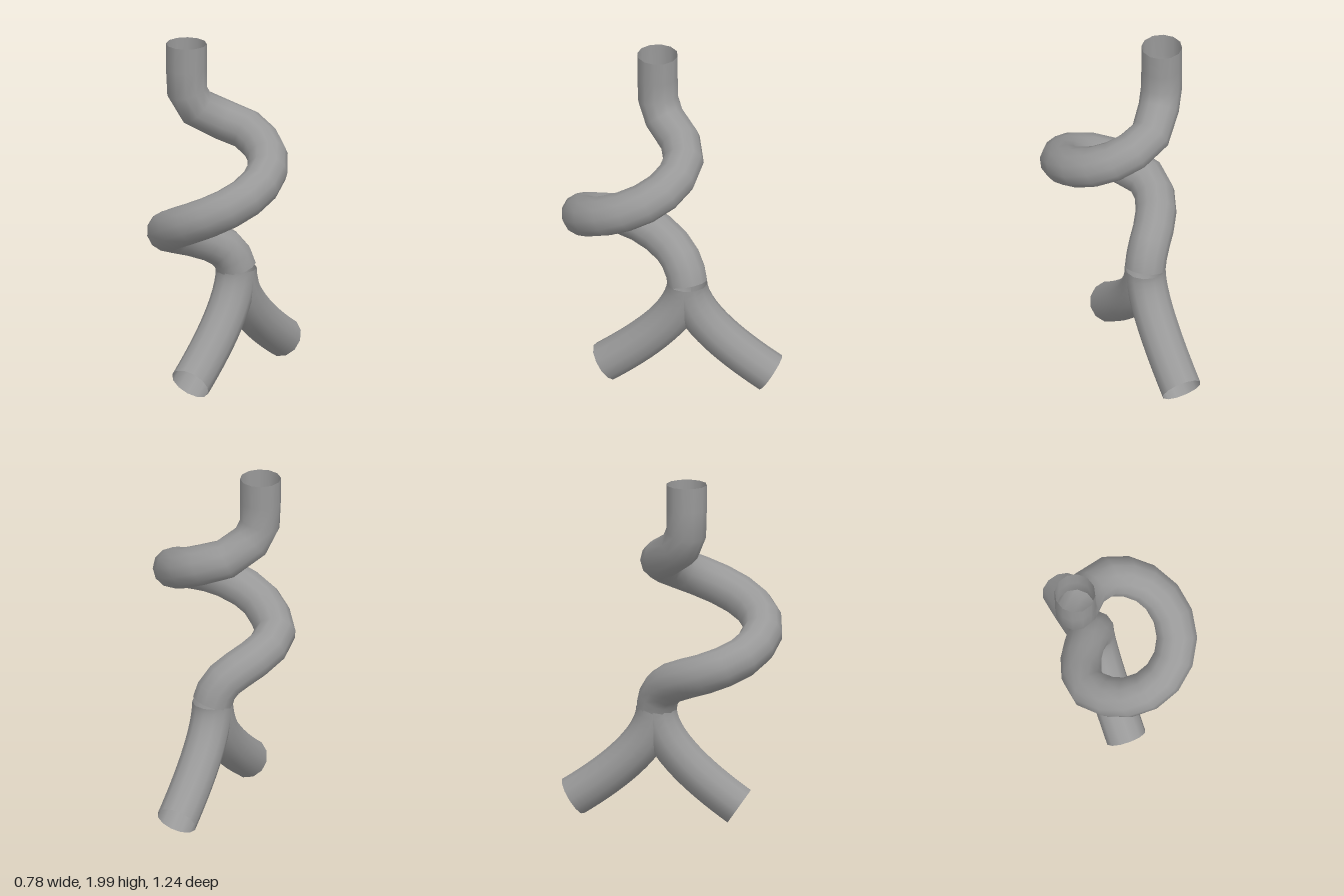
import * as THREE from 'three';

const R = 0.115; // pipe radius
const SIDES = 12;
const material = new THREE.MeshStandardMaterial({ color: 0x999999, side: THREE.DoubleSide });

function pipe(name, curve, segments) {
  const mesh = new THREE.Mesh(new THREE.TubeGeometry(curve, segments, R, SIDES, false), material);
  mesh.name = name;
  return mesh;
}

// Smooth path with one pipe ring placed exactly at each point
function ringPath(points) {
  const curve = new THREE.CatmullRomCurve3(points);
  curve.getPointAt = (t, target) => curve.getPoint(t, target);
  curve.getTangentAt = (t, target) => curve.getTangent(t, target);
  return curve;
}

export function createModel() {
  const group = new THREE.Group();
  group.name = 'coiledPipe';
  const v = (x, y, z) => new THREE.Vector3(x, y, z);

  // Straight inlet bending into the coil
  const points = [
    v(-0.275, 2, 0.12), v(-0.275, 1.86, 0.12), v(-0.272, 1.72, 0.117),
    v(-0.235, 1.62, 0.075), v(-0.13, 1.535, -0.035),
  ];
  // Descending coil: 16 rings per turn, from the back round to the front left
  for (let i = 0; i <= 10; i++) {
    const a = (i * Math.PI) / 8;
    points.push(v(0.28 * Math.sin(a), 1.49 - 0.05 * i, 0.215 - 0.29 * Math.cos(a)));
  }
  // Coil outlet bending down to the fork
  points.push(
    v(-0.272, 0.95, 0.325), v(-0.275, 0.907, 0.215), v(-0.235, 0.868, 0.11),
    v(-0.175, 0.825, 0.02), v(-0.125, 0.78, -0.035), v(-0.09, 0.72, -0.07),
    v(-0.074, 0.655, -0.085),
  );
  group.add(pipe('coil', ringPath(points), points.length - 1));

  // Two legs of the fork, curving forward and backward
  for (const [name, endZ, endY] of [['frontLeg', 0.385, 0.1], ['backLeg', -0.56, 0.12]]) {
    const curve = new THREE.QuadraticBezierCurve3(
      v(-0.074, 0.66, -0.085), v(-0.074, 0.425, -0.085), v(-0.074, endY, endZ));
    group.add(pipe(name, curve, 14));
  }
  return group;
}
